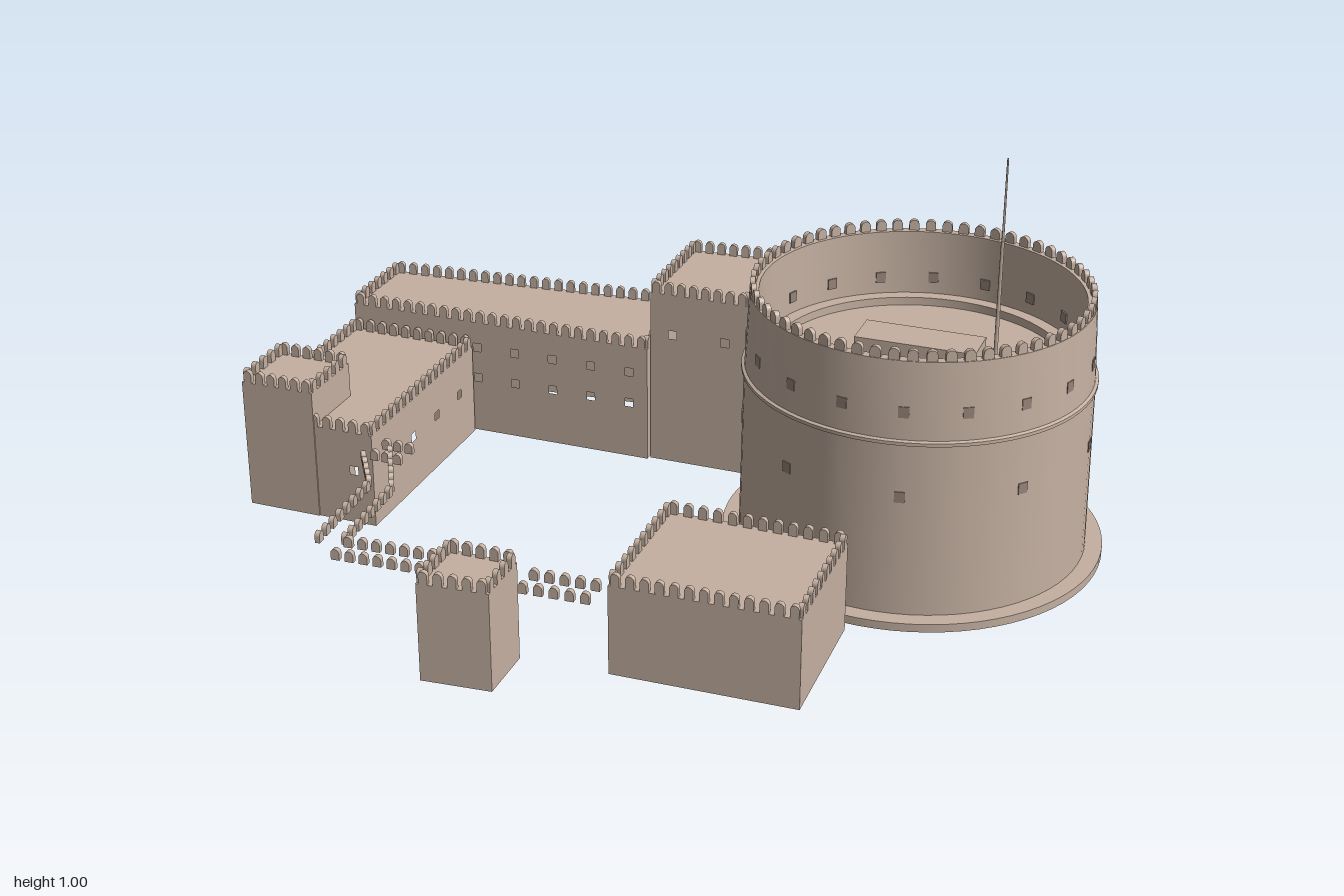
import * as THREE from 'three';
import { mergeGeometries, toCreasedNormals } from 'three/addons/utils/BufferGeometryUtils.js';

const stone = new THREE.MeshStandardMaterial({ color: 0xc4b0a1, side: THREE.DoubleSide });
stone.name = 'stone';
const recess = new THREE.MeshStandardMaterial({ color: 0x97857a });
recess.name = 'window recess';

function add(parent, name, geometry, material = stone) {
  const mesh = new THREE.Mesh(geometry, material);
  mesh.name = name;
  parent.add(mesh);
  return mesh;
}

// One round-topped battlement block, standing on y = 0
function merlonGeometry(w = 0.02, h = 0.03, d = 0.012) {
  const s = new THREE.Shape();
  s.moveTo(-w / 2, 0);
  s.lineTo(w / 2, 0);
  s.lineTo(w / 2, h - w / 2);
  s.absarc(0, h - w / 2, w / 2, 0, Math.PI, false);
  s.closePath();
  return new THREE.ExtrudeGeometry(s, { depth: d, bevelEnabled: false, curveSegments: 6 }).translate(0, 0, -d / 2);
}

// Battlements along a straight line from [x, z] to [x, z]
function merlonRow(p, q, y, inset = 0.006, h = 0.03, pitch = 0.034) {
  const dx = q[0] - p[0], dz = q[1] - p[1], len = Math.hypot(dx, dz);
  const n = Math.max(2, Math.round(len / pitch));
  const out = [];
  for (let i = 0; i < n; i++) {
    const t = (i + 0.5) / n;
    out.push(merlonGeometry(0.02, h).rotateY(-Math.atan2(dz, dx))
      .translate(p[0] + dx * t + dz / len * inset, y, p[1] + dz * t - dx / len * inset));
  }
  return out;
}

// Hollow building, open below. Corners run front left, front right, back right, back left.
// Each window entry: side, count, first and last position along the side (0..1), heights
function building(parent, name, corners, h, windows = []) {
  const g = new THREE.Group();
  g.name = name;
  parent.add(g);
  const merlons = [];
  corners.forEach((p, side) => {
    const q = corners[(side + 1) % 4];
    const dx = q[0] - p[0], dz = q[1] - p[1], len = Math.hypot(dx, dz);
    const wall = new THREE.Shape([[0, 0], [len, 0], [len, h], [0, h]].map(c => new THREE.Vector2(...c)));
    for (const [s, n, a, b, heights] of windows) {
      if (s !== side) continue;
      for (let i = 0; i < n; i++) for (const y of heights) {
        const x = len * (n > 1 ? a + (b - a) * i / (n - 1) : a), r = 0.011;
        wall.holes.push(new THREE.Path([[x - r, y - r], [x - r, y + r], [x + r, y + r], [x + r, y - r]]
          .map(c => new THREE.Vector2(...c))));
      }
    }
    add(g, 'wall', new THREE.ShapeGeometry(wall).rotateY(-Math.atan2(dz, dx)).translate(p[0], 0, p[1]));
    merlons.push(...merlonRow(p, q, h));
  });
  const roof = new THREE.Shape(corners.map(c => new THREE.Vector2(c[0], -c[1])));
  add(g, 'roof', new THREE.ShapeGeometry(roof).rotateX(-Math.PI / 2).translate(0, h, 0));
  add(g, 'battlements', mergeGeometries(merlons));
}

function roundTower() {
  const g = new THREE.Group();
  g.name = 'roundTower';
  // Plinth, tapering wall with string course, parapet, inner ledge and terrace
  const profile = [[0.388, 0.45], [0.388, 0], [0.45, 0], [0.45, 0.02], [0.41, 0.02], [0.404, 0.434],
    [0.41, 0.437], [0.41, 0.445], [0.403, 0.448], [0.394, 0.63], [0.372, 0.63], [0.372, 0.47],
    [0.34, 0.47], [0.34, 0.45], [0, 0.45]].map(c => new THREE.Vector2(...c));
  add(g, 'towerWall', toCreasedNormals(new THREE.LatheGeometry(profile, 72), 0.5));

  const merlons = [], count = 60;
  for (let i = 0; i < count; i++) {
    merlons.push(merlonGeometry(0.024, 0.028).translate(0, 0.628, 0.386).rotateY(i / count * Math.PI * 2));
  }
  add(g, 'towerBattlements', mergeGeometries(merlons));

  // Windows: upper row every 20 degrees inside and out, lower row every 40
  const panes = [];
  const pane = (deg, y, r) => panes.push(new THREE.BoxGeometry(0.024, 0.026, 0.006)
    .translate(0, y, r).rotateY(THREE.MathUtils.degToRad(deg)));
  for (let d = 10; d < 370; d += 20) {
    pane(d, 0.512, 0.398);
    pane(d, 0.512, 0.371);
  }
  for (let d = 10; d < 370; d += 40) pane(d, 0.31, 0.4045);
  add(g, 'towerWindows', mergeGeometries(panes), recess);

  add(g, 'stairHousing', new THREE.BoxGeometry(0.285, 0.065, 0.105).translate(0, 0.4825, 0));
  add(g, 'lowerMast', new THREE.CylinderGeometry(0.004, 0.005, 0.36, 8).translate(0.195, 0.63, 0.087));
  add(g, 'upperMast', new THREE.CylinderGeometry(0.002, 0.003, 0.195, 8).translate(0.195, 0.9045, 0.087));
  g.position.set(0.55, 0, -0.226);
  return g;
}

export function createModel() {
  const model = new THREE.Group();
  model.name = 'fortress';
  model.add(roundTower());

  const rows = [0.15, 0.235];
  building(model, 'longHall', [[-1, -0.37], [-0.18, -0.37], [-0.18, -0.68], [-1, -0.612]], 0.305,
    [[0, 5, 0.427, 0.94, rows], [2, 8, 0.07, 0.93, rows], [3, 2, 0.3, 0.7, rows]]);
  building(model, 'squareTower', [[-0.175, -0.38], [0.08, -0.38], [0.08, -0.7], [-0.175, -0.682]], 0.457,
    [[0, 2, 0.23, 0.77, [0.35]], [1, 2, 0.2, 0.83, [0.35]]]);
  building(model, 'backWing', [[0.087, -0.522], [0.57, -0.68], [0.563, -0.78], [0.087, -0.715]], 0.26);
  building(model, 'westWing', [[-1, 0.195], [-0.66, 0.195], [-0.66, -0.362], [-1, -0.362]], 0.24,
    [[0, 1, 0.85, 0.85, [0.14]], [1, 4, 0.15, 0.85, [0.14]], [3, 5, 0.12, 0.62, [0.15]]]);
  building(model, 'cornerTurret', [[-1, 0.198], [-0.812, 0.198], [-0.812, 0.012], [-1, 0.012]], 0.327);
  building(model, 'gatehouse', [[-0.255, 0.772], [-0.093, 0.758], [-0.093, 0.615], [-0.255, 0.615]], 0.237);
  building(model, 'frontHall', [[0.11, 0.605], [0.535, 0.592], [0.53, 0.25], [0.11, 0.25]], 0.217,
    [[2, 1, 0.25, 0.25, [0.09]]]);

  // Battlements of the courtyard walls, in parallel pairs
  const paths = [
    [[-0.65, 0.167], [-0.56, 0.167]], [[-0.65, 0.227], [-0.56, 0.227]],
    [[-0.665, 0.23], [-0.58, 0.36], [-0.565, 0.64]],
    [[-0.62, 0.18], [-0.52, 0.365], [-0.507, 0.625]],
    [[-0.51, 0.622], [-0.28, 0.608]], [[-0.51, 0.68], [-0.28, 0.668]],
    [[-0.075, 0.608], [0.1, 0.6]], [[-0.075, 0.667], [0.1, 0.657]],
  ];
  const merlons = [];
  for (const path of paths) {
    for (let i = 1; i < path.length; i++) merlons.push(...merlonRow(path[i - 1], path[i], 0.199, 0, 0.026));
  }
  add(model, 'courtyardBattlements', mergeGeometries(merlons));
  return model;
}
